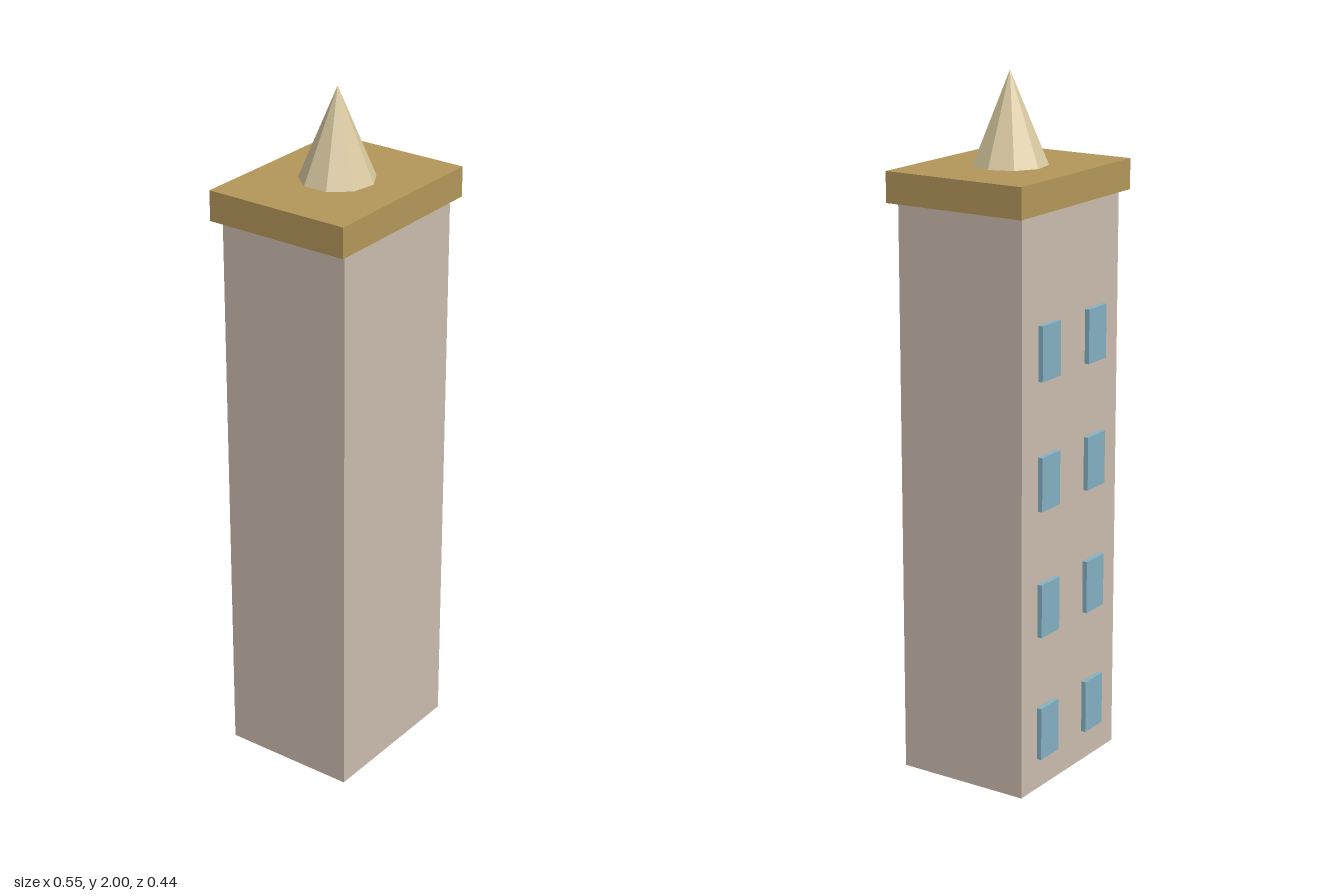
import * as THREE from 'three';

export function createModel() {
  const model = new THREE.Group();
  model.name = 'tower';

  const paint = (name, color) => {
    const m = new THREE.MeshStandardMaterial({ color });
    m.name = name;
    return m;
  };
  const stone = paint('stone', 0xcabbae);
  const ochre = paint('ochre', 0xb3975a);
  const cream = paint('cream', 0xd9c9a0);
  const glass = paint('blue glass', 0x83b1c2);

  const add = (name, geometry, material, x, y, z) => {
    const mesh = new THREE.Mesh(geometry, material);
    mesh.name = name;
    mesh.position.set(x, y, z);
    model.add(mesh);
  };

  // Tower shaft and overhanging roof slab
  add('shaft', new THREE.BoxGeometry(0.484, 1.655, 0.402), stone, 0, 0.8275, 0);
  add('roofSlab', new THREE.BoxGeometry(0.545, 0.087, 0.438), ochre, 0, 1.6985, 0);

  // Nine-sided spire with one corner towards +x
  const spire = new THREE.ConeGeometry(0.107, 0.258, 9, 1, false, Math.PI / 2).toNonIndexed();
  spire.computeVertexNormals();
  add('spire', spire, cream, 0, 1.871, 0);

  // Four rows of paired windows on the back wall
  const pane = new THREE.BoxGeometry(0.09, 0.155, 0.03);
  for (let row = 0; row < 4; row++) {
    for (const side of [-1, 1]) {
      add('window', pane, glass, side * 0.117, 0.168 + row * 0.368, -0.2);
    }
  }

  return model;
}
